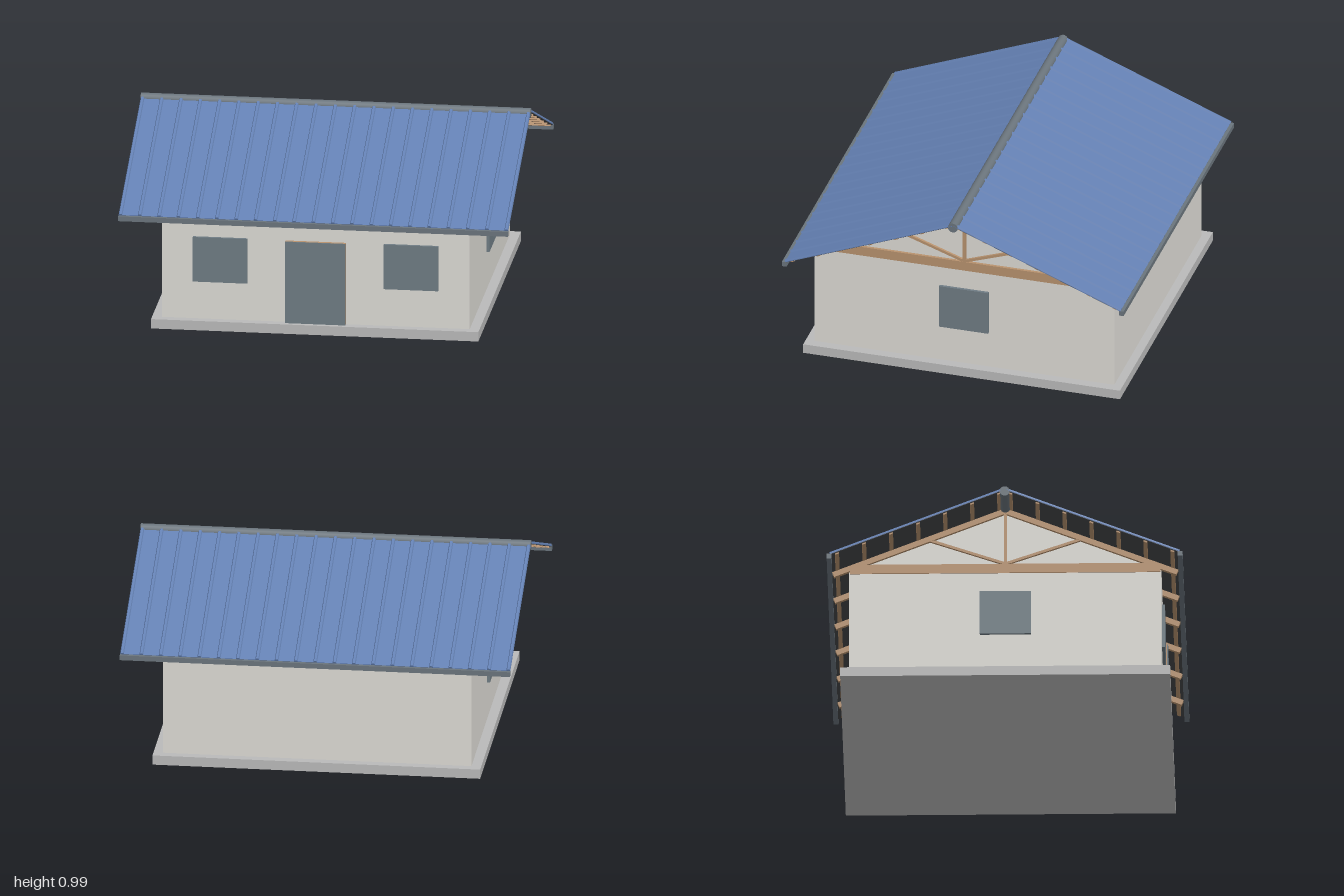
import * as THREE from 'three';

const paint = (name, color) => {
  const m = new THREE.MeshStandardMaterial({ color });
  m.name = name;
  return m;
};

export function createModel() {
  const wall = paint('plaster', 0xdddbd5);
  const concrete = paint('concrete', 0xbababa);
  const wood = paint('timber', 0xb8926e);
  const glass = paint('grey panel', 0x6f7c84);
  const blue = paint('blue sheet', 0x6481b4);
  const trim = paint('grey trim', 0x6b757d);
  const dark = paint('roof underside', 0x454648);

  const house = new THREE.Group();
  house.name = 'house';

  const add = (parent, name, geometry, material) => {
    const mesh = new THREE.Mesh(geometry, material);
    mesh.name = name;
    parent.add(mesh);
    return mesh;
  };
  // box given by its limits on each axis
  const box = (parent, name, material, [x0, x1], [y0, y1], [z0, z1]) => {
    const mesh = add(parent, name, new THREE.BoxGeometry(x1 - x0, y1 - y0, z1 - z0), material);
    mesh.position.set((x0 + x1) / 2, (y0 + y1) / 2, (z0 + z1) / 2);
    return mesh;
  };
  // timber between two points in the plane of a truss
  const beam = (parent, name, width, thick, z0, y0, z1, y1) => {
    const length = Math.hypot(z1 - z0, y1 - y0);
    const mesh = add(parent, name, new THREE.BoxGeometry(width, thick, length), wood);
    mesh.position.set(0, (y0 + y1) / 2, (z0 + z1) / 2);
    mesh.rotation.x = -Math.atan2(y1 - y0, z1 - z0);
  };

  // base and walls
  box(house, 'floorSlab', concrete, [-0.84, 0.84], [0, 0.05], [-0.84, 0.84]);
  box(house, 'walls', wall, [-0.79, 0.79], [0.05, 0.595], [-0.795, 0.795]);

  // door and windows
  box(house, 'doorFrame', wood, [-0.155, 0.155], [0.05, 0.485], [0.79, 0.812]);
  box(house, 'doorPanel', glass, [-0.155, 0.155], [0.05, 0.485], [0.812, 0.818]);
  for (const s of [-1, 1]) {
    const a = [s * 0.35, s * 0.63].sort((p, q) => p - q);
    box(house, 'frontWindow', glass, a, [0.25, 0.488], [0.79, 0.81]);
    const b = [s * 0.785, s * 0.805].sort((p, q) => p - q);
    box(house, 'sideWindow', glass, b, [0.25, 0.488], [-0.13, 0.13]);
  }

  // wall plates around the top of the walls
  for (const s of [-1, 1]) {
    const long = new THREE.BoxGeometry(1.58, 0.025, 0.04);
    add(house, 'wallPlate', long, wood).position.set(0, 0.6075, s * 0.77);
    const end = new THREE.BoxGeometry(0.03, 0.025, 1.58);
    add(house, 'endPlate', end, wood).position.set(s * 0.78, 0.6075, 0);
  }

  // roof trusses
  const apex = 0.958;
  const angle = Math.atan(0.4);
  for (let i = 0; i < 6; i++) {
    const truss = new THREE.Group();
    truss.name = 'truss';
    truss.position.x = -0.785 + i * 0.314;
    house.add(truss);
    beam(truss, 'bottomChord', 0.02, 0.027, -0.77, 0.632, 0.77, 0.632);
    beam(truss, 'kingPost', 0.018, 0.015, 0, 0.64, 0, 0.935);
    for (const s of [-1, 1]) {
      beam(truss, 'rafter', 0.02, 0.029, 0, apex - 0.0155, s * 0.876, apex - 0.0155 - 0.3504);
      beam(truss, 'diagonal', 0.016, 0.014, 0, 0.648, s * 0.385, 0.782);
    }
  }

  // gable infill behind the end trusses
  const triangle = new THREE.Shape([
    new THREE.Vector2(-0.795, 0.595), new THREE.Vector2(0.795, 0.595),
    new THREE.Vector2(0.795, 0.62), new THREE.Vector2(0, 0.945), new THREE.Vector2(-0.795, 0.62),
  ]);
  for (const x of [-0.78, 0.768]) {
    const gable = new THREE.ExtrudeGeometry(triangle, { depth: 0.012, bevelEnabled: false });
    gable.rotateY(Math.PI / 2);
    add(house, 'gableWall', gable, wall).position.x = x;
  }

  // ribbed sheet profile, running along the slope
  const top = 0.013, rib = 0.021, length = 0.953;
  const profile = new THREE.Shape();
  profile.moveTo(-1, 0.009);
  profile.lineTo(1, 0.009);
  profile.lineTo(1, top);
  for (let i = 20; i >= 0; i--) {
    const x = -0.99 + i * 0.099;
    profile.lineTo(Math.min(x + 0.01, 1), top);
    profile.lineTo(x + 0.006, rib);
    profile.lineTo(x - 0.006, rib);
    profile.lineTo(Math.max(x - 0.01, -1), top);
  }
  profile.closePath();

  // the two slopes, each with sheet, underside and purlins
  for (const turn of [0, Math.PI]) {
    const side = new THREE.Group();
    side.name = 'roofSide';
    side.rotation.y = turn;
    house.add(side);
    const slope = new THREE.Group();
    slope.name = 'roofSlope';
    slope.position.y = apex;
    slope.rotation.x = angle;
    side.add(slope);
    const sheet = new THREE.ExtrudeGeometry(profile, { depth: length, bevelEnabled: false });
    add(slope, 'roofSheet', sheet, blue);
    box(slope, 'sheetUnderside', dark, [-0.998, 0.998], [0.007, 0.009], [0, length - 0.002]);
    for (let i = 0; i < 7; i++) {
      const z = 0.03 + i * 0.148;
      box(slope, 'purlin', wood, [-0.99, 0.99], [-0.001, 0.007], [z - 0.01, z + 0.01]);
    }
    box(side, 'gutter', trim, [-1, 1], [0.588, 0.614], [0.881, 0.906]);
  }

  // rounded ridge cap
  const cap = new THREE.CylinderGeometry(0.026, 0.026, 2, 16);
  cap.rotateZ(Math.PI / 2);
  add(house, 'ridgeCap', cap, trim).position.y = 0.959;

  return house;
}
